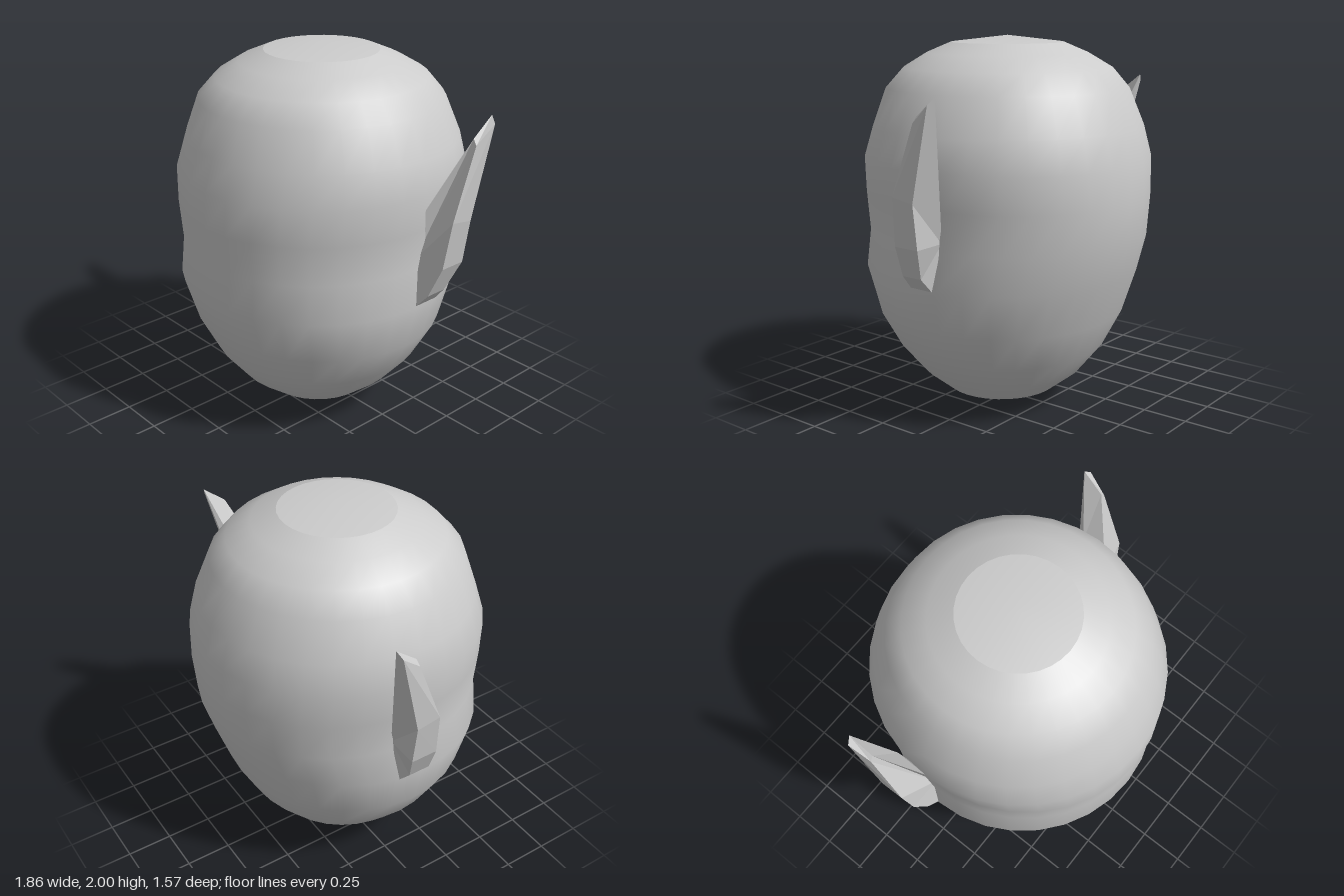
import * as THREE from 'three';

const SIDES = 32;
const grey = (extra = {}) => new THREE.MeshStandardMaterial({ color: 0xcccccc, ...extra });

// Head cross-sections, bottom to top: [y, half width, front z, back z]
const RINGS = [
  [0.07, 0.31, 0.34, -0.27], [0.18, 0.445, 0.48, -0.41], [0.33, 0.575, 0.6, -0.53],
  [0.53, 0.69, 0.7, -0.63], [0.77, 0.745, 0.775, -0.71], [0.97, 0.725, 0.763, -0.77],
  [1.18, 0.74, 0.78, -0.785], [1.37, 0.76, 0.77, -0.775], [1.535, 0.72, 0.715, -0.73],
  [1.73, 0.64, 0.65, -0.65], [1.835, 0.55, 0.555, -0.56], [1.91, 0.43, 0.43, -0.43],
  [1.965, 0.3, 0.3, -0.3],
];

function ringPoint([y, w, front, back], i) {
  const a = (i / SIDES) * Math.PI * 2;
  return [w * Math.sin(a), y, (front + back) / 2 + ((front - back) / 2) * Math.cos(a)];
}

function build(positions, index) {
  const g = new THREE.BufferGeometry();
  g.setAttribute('position', new THREE.Float32BufferAttribute(positions, 3));
  g.setIndex(index);
  g.computeVertexNormals();
  return g;
}

// Smooth skin lofted through the cross-sections
function skullGeometry() {
  const pos = [], idx = [];
  RINGS.forEach((ring) => {
    for (let i = 0; i < SIDES; i++) pos.push(...ringPoint(ring, i));
  });
  for (let r = 0; r < RINGS.length - 1; r++) {
    for (let i = 0; i < SIDES; i++) {
      const j = (i + 1) % SIDES;
      const a = r * SIDES + i, b = r * SIDES + j;
      idx.push(a, b, b + SIDES, a, b + SIDES, a + SIDES);
    }
  }
  return build(pos, idx);
}

// Shallow cone closing one end, with a hard rim
function capGeometry(ring, pole, up) {
  const pos = [...pole], idx = [];
  for (let i = 0; i < SIDES; i++) {
    pos.push(...ringPoint(ring, i));
    const a = i + 1, b = ((i + 1) % SIDES) + 1;
    idx.push(0, ...(up ? [a, b] : [b, a]));
  }
  return build(pos, idx);
}

// Pointed wedge ear: matching front and back outlines, first point is the hidden root
const EAR_FRONT = [
  [0.7, 1.02, 0], [0.745, 0.78, 0.03], [0.81, 0.855, 0.02], [0.88, 1.02, 0],
  [0.913, 1.27, -0.02], [0.912, 1.63, -0.16], [0.89, 1.66, -0.165], [0.75, 1.29, 0],
];
const EAR_BACK = [
  [0.7, 1.02, -0.14], [0.745, 0.78, -0.11], [0.81, 0.855, -0.1], [0.88, 1.02, -0.145],
  [0.913, 1.25, -0.15], [0.93, 1.72, -0.268], [0.895, 1.755, -0.285], [0.76, 1.37, -0.16],
];

function earGeometry(side) {
  const n = EAR_FRONT.length;
  const pos = [...EAR_FRONT, ...EAR_BACK].flatMap(([x, y, z]) => [x * side, y, z]);
  const idx = [];
  const tri = (a, b, c) => idx.push(...(side > 0 ? [a, b, c] : [a, c, b]));
  for (let i = 0; i < n; i++) {
    const j = (i + 1) % n;
    if (i > 0 && j > 0) {
      tri(0, i, j);
      tri(n, n + j, n + i);
    }
    tri(i, n + i, n + j);
    tri(i, n + j, j);
  }
  return build(pos, idx);
}

export function createModel() {
  const model = new THREE.Group();
  model.name = 'head';
  const add = (name, geometry, material) => {
    const mesh = new THREE.Mesh(geometry, material);
    mesh.name = name;
    model.add(mesh);
  };

  add('skull', skullGeometry(), grey());
  add('crownCap', capGeometry(RINGS[RINGS.length - 1], [0, 2, 0], true), grey());
  add('chinCap', capGeometry(RINGS[0], [0, 0, 0.03], false), grey());
  add('leftEar', earGeometry(1), grey({ flatShading: true, side: THREE.DoubleSide }));
  add('rightEar', earGeometry(-1), grey({ flatShading: true, side: THREE.DoubleSide }));
  return model;
}
